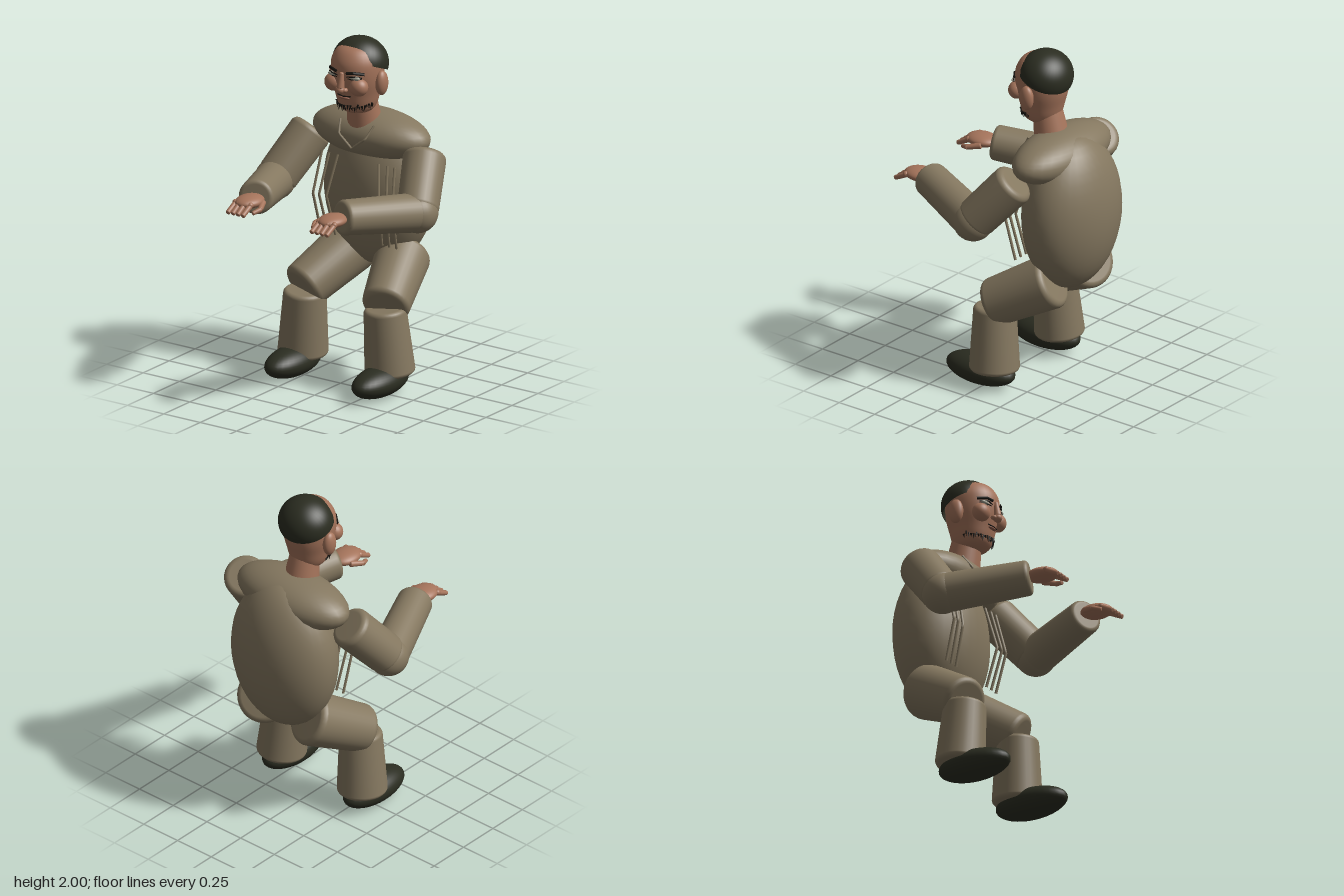
import * as THREE from 'three';

const V = (x, y, z) => new THREE.Vector3(x, y, z);
const paint = (name, color) => {
  const m = new THREE.MeshStandardMaterial({ color });
  m.name = name;
  return m;
};

export function createModel() {
  const model = new THREE.Group();
  model.name = 'seatedMan';
  const suit = paint('taupe suit', 0x857860);
  const skin = paint('skin', 0xa5745b);
  const dark = paint('dark hair and shoes', 0x2b2d21);
  dark.side = THREE.DoubleSide;
  const black = paint('black whiskers', 0x17140f);
  const eyeGrey = paint('eye grey', 0xa3a394);
  const lip = paint('lip', 0x8c5d4b);

  const add = (name, geometry, material, parent = model) => {
    const mesh = new THREE.Mesh(geometry, material);
    mesh.name = name;
    parent.add(mesh);
    return mesh;
  };
  const blob = (name, c, r, material, parent) => {
    const mesh = add(name, new THREE.SphereGeometry(1, 32, 22), material, parent);
    mesh.position.set(...c);
    mesh.scale.set(...r);
    return mesh;
  };
  // Tapered cylinder from a to b, with rounded rims
  const limb = (name, a, b, ra, rb, round, material, parent) => {
    const length = a.distanceTo(b);
    const pts = [new THREE.Vector2(0, 0)];
    for (let i = 0; i <= 5; i++) {
      const t = (i / 5) * Math.PI / 2;
      pts.push(new THREE.Vector2(ra - round + round * Math.sin(t), round - round * Math.cos(t)));
    }
    for (let i = 0; i <= 5; i++) {
      const t = (i / 5) * Math.PI / 2;
      pts.push(new THREE.Vector2(rb - round + round * Math.cos(t), length - round + round * Math.sin(t)));
    }
    pts.push(new THREE.Vector2(0, length));
    const mesh = add(name, new THREE.LatheGeometry(pts, 32), material, parent);
    mesh.position.copy(a);
    mesh.quaternion.setFromUnitVectors(V(0, 1, 0), b.clone().sub(a).normalize());
    return mesh;
  };
  // Thin cord through straight segments
  const cord = (name, points, radius, material, parent) => {
    const path = new THREE.CurvePath();
    for (let i = 1; i < points.length; i++) path.add(new THREE.LineCurve3(points[i - 1], points[i]));
    return add(name, new THREE.TubeGeometry(path, 24, radius, 6), material, parent);
  };

  // Torso
  blob('torso', [0, 1.07, -0.372], [0.342, 0.46, 0.242], suit);
  blob('shoulders', [0, 1.41, -0.3], [0.383, 0.14, 0.19], suit);
  cord('collar', [V(-0.115, 1.5, -0.16), V(-0.09, 1.43, -0.11), V(0, 1.36, -0.105),
    V(0.09, 1.43, -0.11), V(0.115, 1.5, -0.16)], 0.007, suit);

  // Head and neck
  limb('neck', V(0, 1.47, -0.235), V(0, 1.65, -0.2), 0.1, 0.085, 0.015, skin);
  const head = new THREE.Group();
  head.name = 'head';
  model.add(head);
  const outline = [[0, 1.565], [0.05, 1.57], [0.09, 1.59], [0.112, 1.63], [0.127, 1.69],
    [0.144, 1.76], [0.15, 1.83], [0.143, 1.89], [0.11, 1.945], [0.06, 1.972], [0, 1.98]];
  const curve = new THREE.SplineCurve(outline.map(p => new THREE.Vector2(...p)));
  const profile = curve.getPoints(36).map(p => new THREE.Vector2(Math.max(0, p.x), p.y));
  const skull = add('skull', new THREE.LatheGeometry(profile, 36), skin, head);
  skull.position.z = -0.165;
  skull.scale.z = 1.03;

  // Hair cap, lower at the back
  const hair = add('hair', new THREE.SphereGeometry(1, 36, 20, 0, Math.PI * 2, 0, Math.PI * 0.53), dark, head);
  hair.position.set(0, 1.855, -0.192);
  hair.rotation.x = -0.38;
  hair.scale.set(0.163, 0.145, 0.153);

  // Nose and mouth
  limb('noseBridge', V(0, 1.84, -0.012), V(0, 1.745, 0.003), 0.014, 0.022, 0.01, skin, head);
  blob('noseTip', [0, 1.738, 0], [0.026, 0.023, 0.027], skin, head);
  blob('lowerLip', [0, 1.682, -0.034], [0.036, 0.008, 0.012], lip, head);
  cord('mouthLine', [V(-0.045, 1.695, -0.036), V(0, 1.692, -0.026), V(0.045, 1.695, -0.036)], 0.004, black, head);

  // Whiskers around the jaw
  for (let i = 0; i < 25; i++) {
    const t = i / 12 - 1;
    const angle = t * 1.45;
    const tuft = add('whisker', new THREE.ConeGeometry(0.007, 0.032 + 0.012 * ((i * 7) % 3 - 1), 5), black, head);
    const r = 0.113 + ((i * 5) % 4) * 0.001;
    tuft.position.set(Math.sin(angle) * r, 1.614 + 0.016 * t * t + 0.004 * ((i * 3) % 4 - 1.5), -0.165 + Math.cos(angle) * r * 1.03);
    tuft.rotation.set(Math.PI, 0, 0.3 * ((i % 3) - 1));
  }

  for (const s of [-1, 1]) {
    const side = s > 0 ? 'left' : 'right';
    const P = (x, y, z) => V(s * x, y, z);

    // Face features
    blob(side + 'Ear', [s * 0.158, 1.762, -0.175], [0.033, 0.072, 0.044], skin, head);
    blob(side + 'Cheek', [s * 0.085, 1.755, -0.055], [0.056, 0.053, 0.05], skin, head);
    blob(side + 'Nostril', [s * 0.024, 1.736, -0.01], [0.015, 0.014, 0.018], skin, head);
    blob(side + 'Eye', [s * 0.07, 1.811, -0.034], [0.038, 0.013, 0.016], eyeGrey, head);
    cord(side + 'LashLine', [P(0.03, 1.815, -0.016), P(0.07, 1.822, -0.017), P(0.112, 1.815, -0.05)], 0.004, black, head);
    cord(side + 'LowerLash', [P(0.035, 1.804, -0.018), P(0.07, 1.803, -0.019), P(0.11, 1.806, -0.05)], 0.003, black, head);
    cord(side + 'Brow', [P(0.03, 1.836, -0.012), P(0.07, 1.842, -0.024), P(0.118, 1.832, -0.065)], 0.009, black, head);

    // Hanging jacket cords
    for (const [top, mid, low] of [[0.14, 0.18, 0.16], [0.2, 0.23, 0.21], [0.25, 0.272, 0.26]])
      cord(side + 'JacketCord', [P(top, 1.28, -0.17), P(mid, 1.04, -0.115), P(low, 0.8, -0.175)], 0.008, suit);

    // Arm
    const elbow = P(0.49, 1.095, -0.055);
    const wrist = P(0.295, 1.155, 0.405);
    limb(side + 'UpperArm', P(0.385, 1.36, -0.275), elbow, 0.123, 0.118, 0.035, suit);
    blob(side + 'Elbow', elbow.toArray(), [0.117, 0.117, 0.117], suit);
    limb(side + 'Forearm', elbow, wrist, 0.112, 0.101, 0.025, suit);

    // Hand
    const hand = new THREE.Group();
    hand.name = side + 'Hand';
    model.add(hand);
    blob('palm', [s * 0.285, 1.157, 0.475], [0.076, 0.036, 0.097], skin, hand);
    for (let i = 0; i < 4; i++) {
      const x = 0.237 + i * 0.034;
      const bend = i === 0 || i === 3 ? 0.535 : 0.55;
      blob('knuckle', [s * x, 1.156, bend], [0.018, 0.018, 0.018], skin, hand);
      limb('finger', P(x, 1.153, bend), P(x, 1.113, 0.612), 0.0155, 0.014, 0.005, skin, hand);
    }
    limb('thumbBase', P(0.222, 1.15, 0.435), P(0.188, 1.133, 0.51), 0.018, 0.015, 0.005, skin, hand);
    limb('thumbTip', P(0.187, 1.134, 0.503), P(0.208, 1.12, 0.557), 0.015, 0.012, 0.005, skin, hand);

    // Leg
    limb(side + 'Thigh', P(0.165, 0.7, -0.38), P(0.287, 0.5, -0.025), 0.157, 0.138, 0.035, suit);
    limb(side + 'Shin', P(0.275, 0.49, -0.042), P(0.3, 0.105, -0.058), 0.122, 0.143, 0.025, suit);
    blob(side + 'Shoe', [s * 0.3, 0.086, 0.038], [0.113, 0.086, 0.228], dark);
  }
  return model;
}
